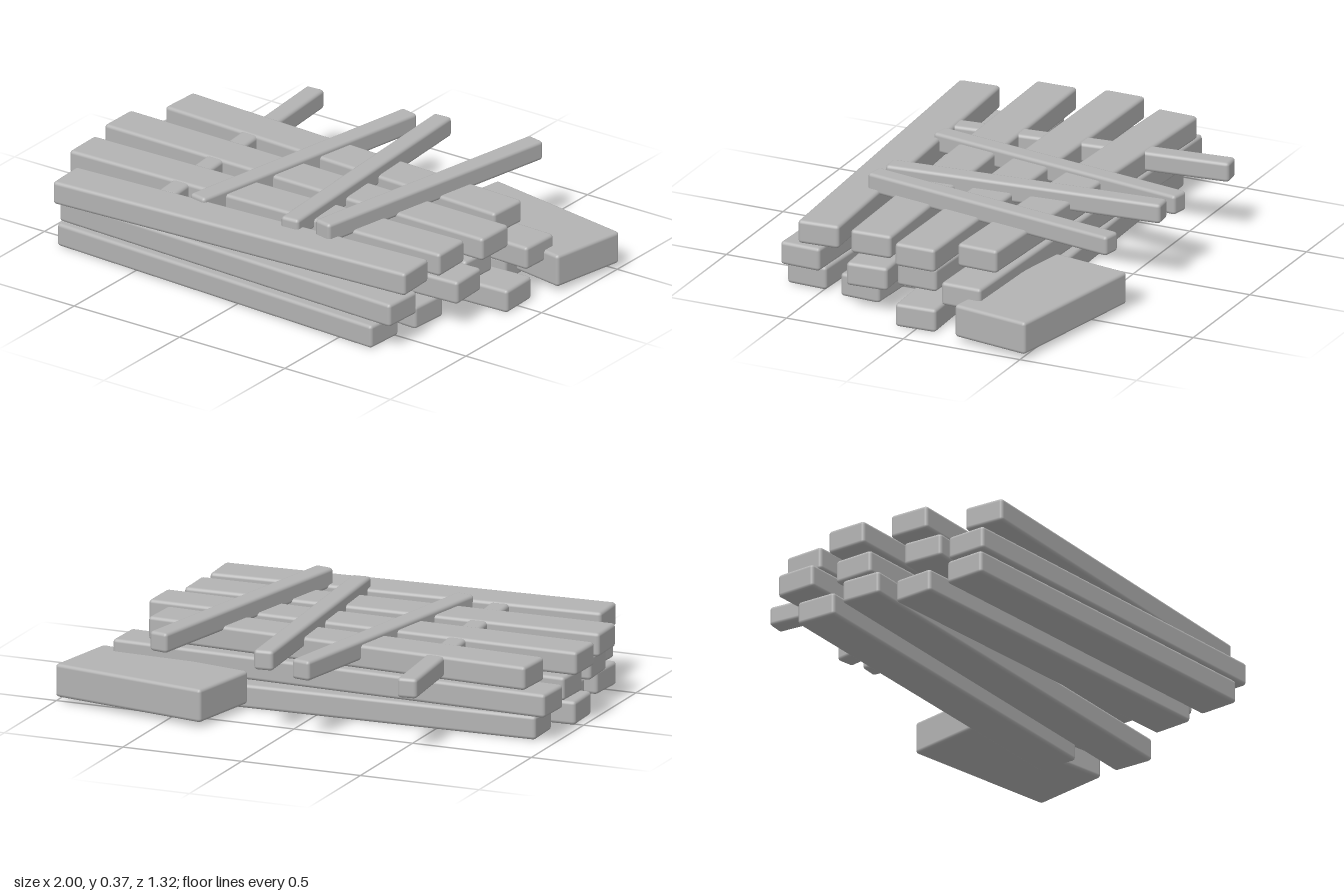
import * as THREE from 'three';
import { RoundedBoxGeometry } from 'three/addons/geometries/RoundedBoxGeometry.js';

const gray = new THREE.MeshStandardMaterial({ color: 0xb3b3b3 });
gray.name = 'plain gray';

// Softly bevelled beam laid between two end points (x, z), from y0 up by height
function beam(name, [x0, z0, x1, z1], y0, width, height) {
  const dx = x1 - x0, dz = z1 - z0;
  const geometry = new RoundedBoxGeometry(Math.hypot(dx, dz), height, width, 2, 0.014);
  const mesh = new THREE.Mesh(geometry, gray);
  mesh.name = name;
  mesh.position.set((x0 + x1) / 2, y0 + height / 2, (z0 + z1) / 2);
  mesh.rotation.y = Math.atan2(-dz, dx);
  return mesh;
}

export function createModel() {
  const model = new THREE.Group();
  model.name = 'plankPile';

  // Three stacked layers of four planks, each skewed a little
  const layers = [
    { name: 'bottomPlank', y: 0.004, planks: [
      [-0.915, -0.19, 0.72, -0.235], [-0.97, 0.065, 0.895, 0],
      [-0.86, 0.235, 0.705, 0.33], [-0.88, 0.495, 0.67, 0.575]] },
    { name: 'middlePlank', y: 0.111, planks: [
      [-0.98, -0.24, 0.865, -0.18], [-0.95, 0.015, 0.75, 0.065],
      [-0.92, 0.325, 0.83, 0.24], [-0.87, 0.495, 0.75, 0.565]] },
    { name: 'topPlank', y: 0.217, planks: [
      [-0.905, -0.255, 0.715, -0.177], [-1, 0.018, 0.813, 0.043],
      [-0.97, 0.296, 0.76, 0.257], [-0.855, 0.57, 0.755, 0.484]] },
  ];
  for (const layer of layers) {
    const group = new THREE.Group();
    group.name = layer.name + 's';
    layer.planks.forEach((ends, i) =>
      group.add(beam(layer.name + (i + 1), ends, layer.y, 0.172, 0.095)));
    model.add(group);
  }

  // Narrow sticks across the pile, each a little higher than the last
  const sticks = [
    [-0.545, -0.66, -0.44, 0.475], [-0.095, -0.657, -0.295, 0.475],
    [0.06, -0.66, 0.145, 0.477], [0.505, -0.655, 0.295, 0.47]];
  sticks.forEach((ends, i) =>
    model.add(beam('crossStick' + (i + 1), ends, 0.229 + i * 0.0215, 0.08, 0.08)));

  // Wide slab at the back corner
  model.add(beam('slab', [0.306, -0.472, 0.969, -0.354], 0.024, 0.335, 0.133));

  return model;
}
